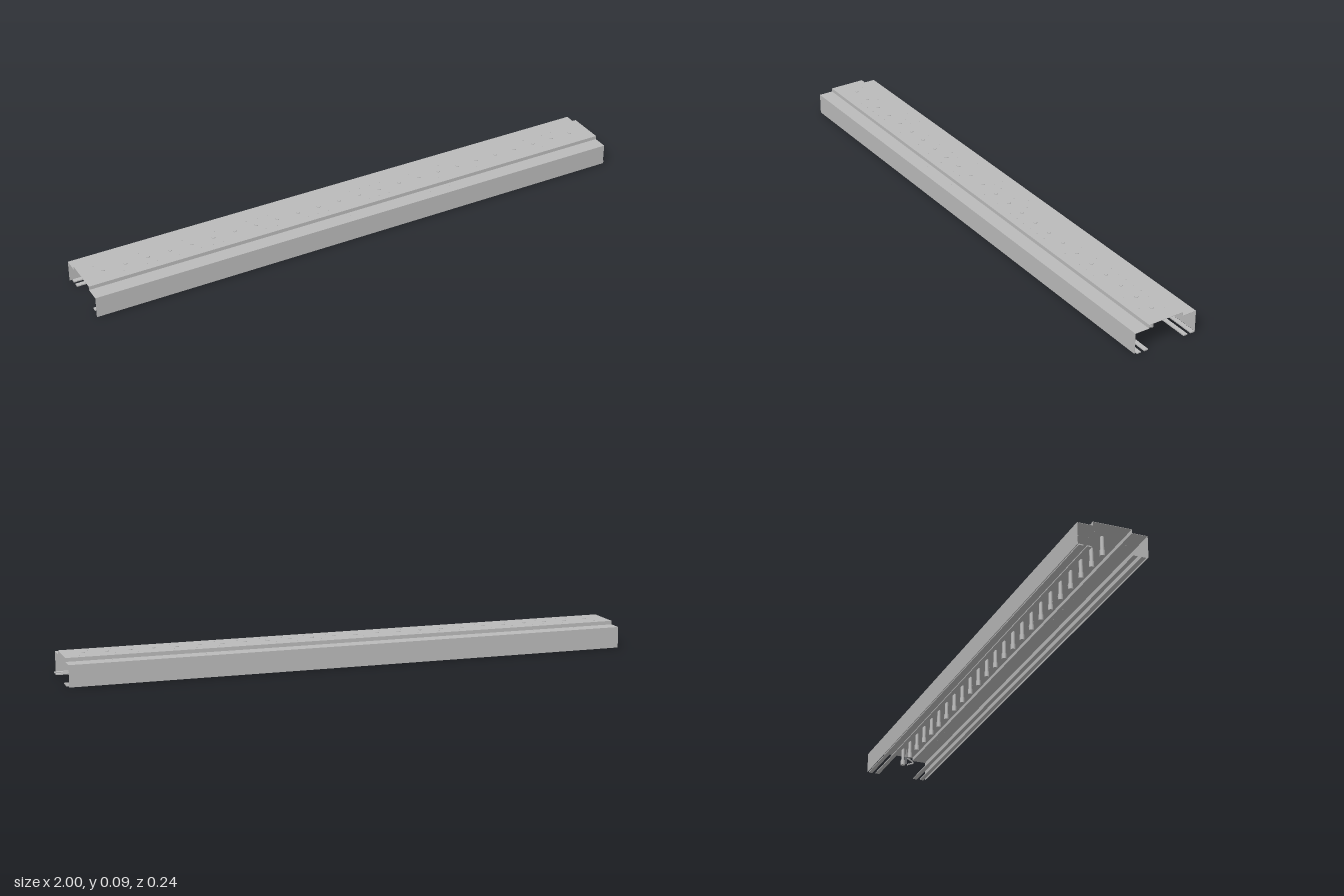
import * as THREE from 'three';

export function createModel() {
  const group = new THREE.Group();
  group.name = 'channelBridge';
  const steel = new THREE.MeshStandardMaterial({ color: 0xbababa, side: THREE.DoubleSide });
  steel.name = 'grey steel';

  function add(name, geometry, x, y, z) {
    const mesh = new THREE.Mesh(geometry, steel);
    mesh.name = name;
    mesh.position.set(x, y, z);
    group.add(mesh);
  }

  // Stepped sheet channel, open underneath and at both ends
  const outer = [[0.119, 0], [0.119, 0.075], [0.066, 0.075], [0.066, 0.088]];
  const t = 0.001;
  const inner = outer.map(([z, y], i) => [z - t, i ? y - t : y]);
  const mirror = (points) => points.map(([z, y]) => [-z, y]).reverse();
  const loop = [...outer, ...mirror(outer), ...mirror(inner).reverse(), ...[...inner].reverse()];
  const shape = new THREE.Shape(loop.map(([z, y]) => new THREE.Vector2(z, y)));
  const shell = new THREE.ExtrudeGeometry(shape, { depth: 1.99, bevelEnabled: false });
  shell.rotateY(Math.PI / 2);
  add('channelShell', shell, -0.997, 0, 0);

  // Long bolts through the deck, each with a wider foot, and small pins around them
  const bolt = new THREE.CylinderGeometry(0.0065, 0.0065, 0.05, 10);
  const foot = new THREE.CylinderGeometry(0.0085, 0.0085, 0.02, 10);
  const pin = new THREE.CylinderGeometry(0.0025, 0.0025, 0.0016, 6);
  const stations = 24;
  for (let i = 0; i < stations; i++) {
    const x = -0.92 + i * 1.84 / (stations - 1);
    add('deckBolt', bolt, x, 0.065, 0);
    add('boltFoot', foot, x, 0.03, 0);
    for (const side of [-1, 1]) {
      for (const dx of [-0.02, 0.02]) add('deckPin', pin, x + dx, 0.0876, side * 0.035);
      add('ledgePin', pin, x, 0.0744, side * 0.081);
    }
  }

  // Two pairs of flat rails running along the bottom, just past one end
  const rail = new THREE.BoxGeometry(1.99, 0.004, 0.015);
  for (const z of [0.107, 0.079, -0.076, -0.104]) add('bottomRail', rail, 0.005, 0.004, z);

  // Small hooked clip hanging beside one bolt
  const clipX = 0.92;
  const hook = new THREE.CatmullRomCurve3([
    [0.017, 0.05], [0.03, 0.045], [0.042, 0.034], [0.03, 0.029], [0.018, 0.024],
  ].map(([z, y]) => new THREE.Vector3(0, y, z)));
  add('hookClip', new THREE.TubeGeometry(hook, 16, 0.003, 6), clipX, 0, 0);
  add('clipStem', new THREE.BoxGeometry(0.003, 0.062, 0.002), clipX, 0.056, 0.013);

  return group;
}
